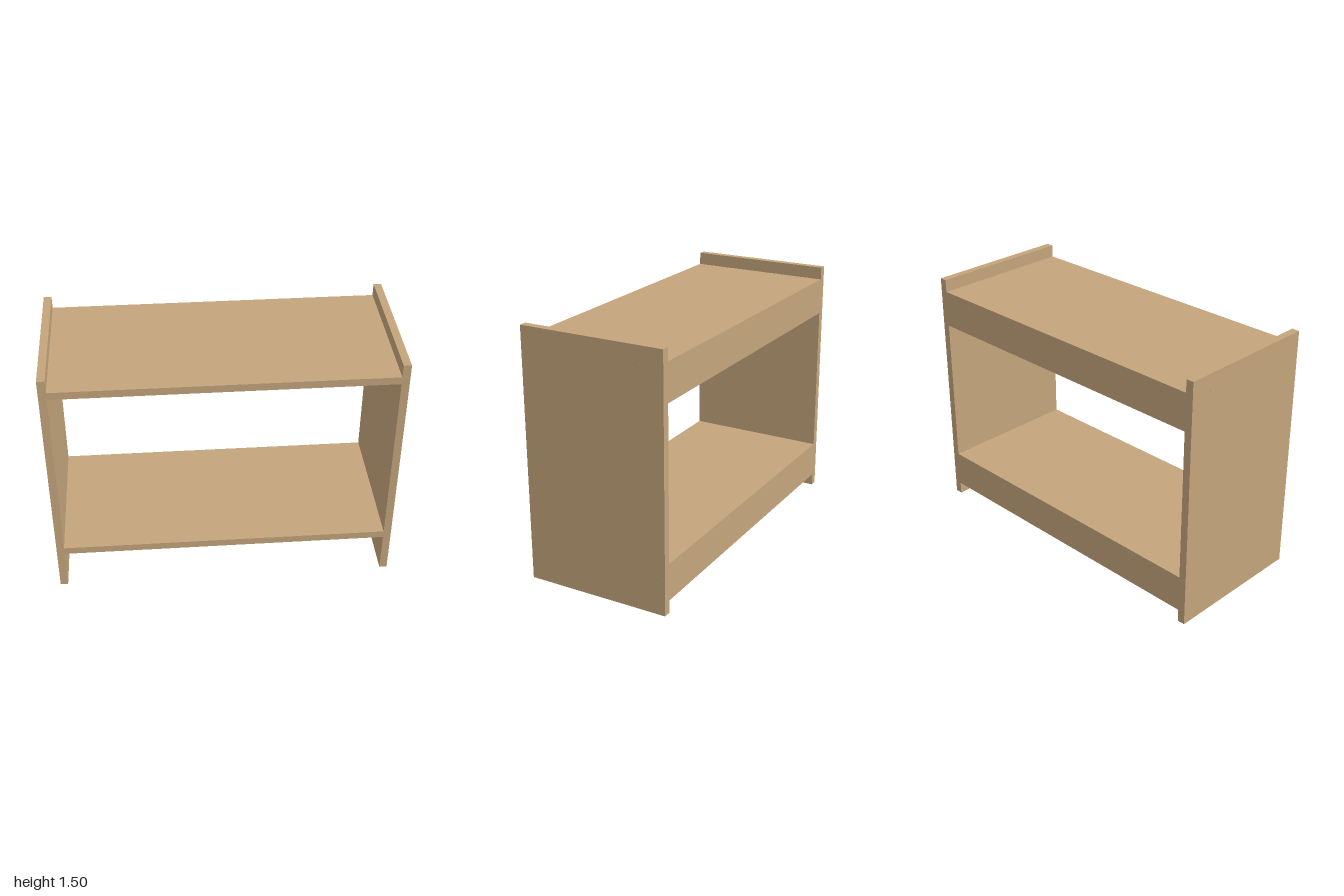
import * as THREE from 'three';

const W = 2, H = 1.495, D = 0.87, T = 0.045; // overall size and board thickness
const APRON_H = 0.175;

export function createModel() {
  const model = new THREE.Group();
  model.name = 'shelfUnit';
  const wood = new THREE.MeshStandardMaterial({ color: 0xc4a57b });
  wood.name = 'lightWood';

  const board = (name, w, h, d, x, y, z) => {
    const mesh = new THREE.Mesh(new THREE.BoxGeometry(w, h, d), wood);
    mesh.name = name;
    mesh.position.set(x, y, z);
    model.add(mesh);
  };

  // Shelves, each with an apron flush with the back edge
  const inner = W - 2 * T;
  const shelves = [['lower', 0.25], ['upper', 1.375]];
  for (const [level, y] of shelves) {
    board(level + 'Shelf', inner, T, D, 0, y + T / 2, 0);
    board(level + 'BackApron', inner, APRON_H, T, 0, y - APRON_H / 2, -D / 2 + T / 2);
  }

  // Side panels with small flush screw plugs at the joints
  const plug = new THREE.CylinderGeometry(0.008, 0.008, 0.004, 12).rotateZ(Math.PI / 2);
  for (const [side, s] of [['left', 1], ['right', -1]]) {
    board(side + 'Panel', T, H, D, s * (W - T) / 2, H / 2, 0);
    for (const [level, y] of shelves) {
      const spots = [[y + T / 2, 0.29], [y + T / 2, -0.29], [y - 0.04, -0.413], [y - 0.135, -0.413]];
      spots.forEach(([py, pz], i) => {
        const mesh = new THREE.Mesh(plug, wood);
        mesh.name = `${side}${level}ScrewPlug${i + 1}`;
        mesh.position.set(s * (W / 2 - 0.0015), py, pz);
        model.add(mesh);
      });
    }
  }
  return model;
}
